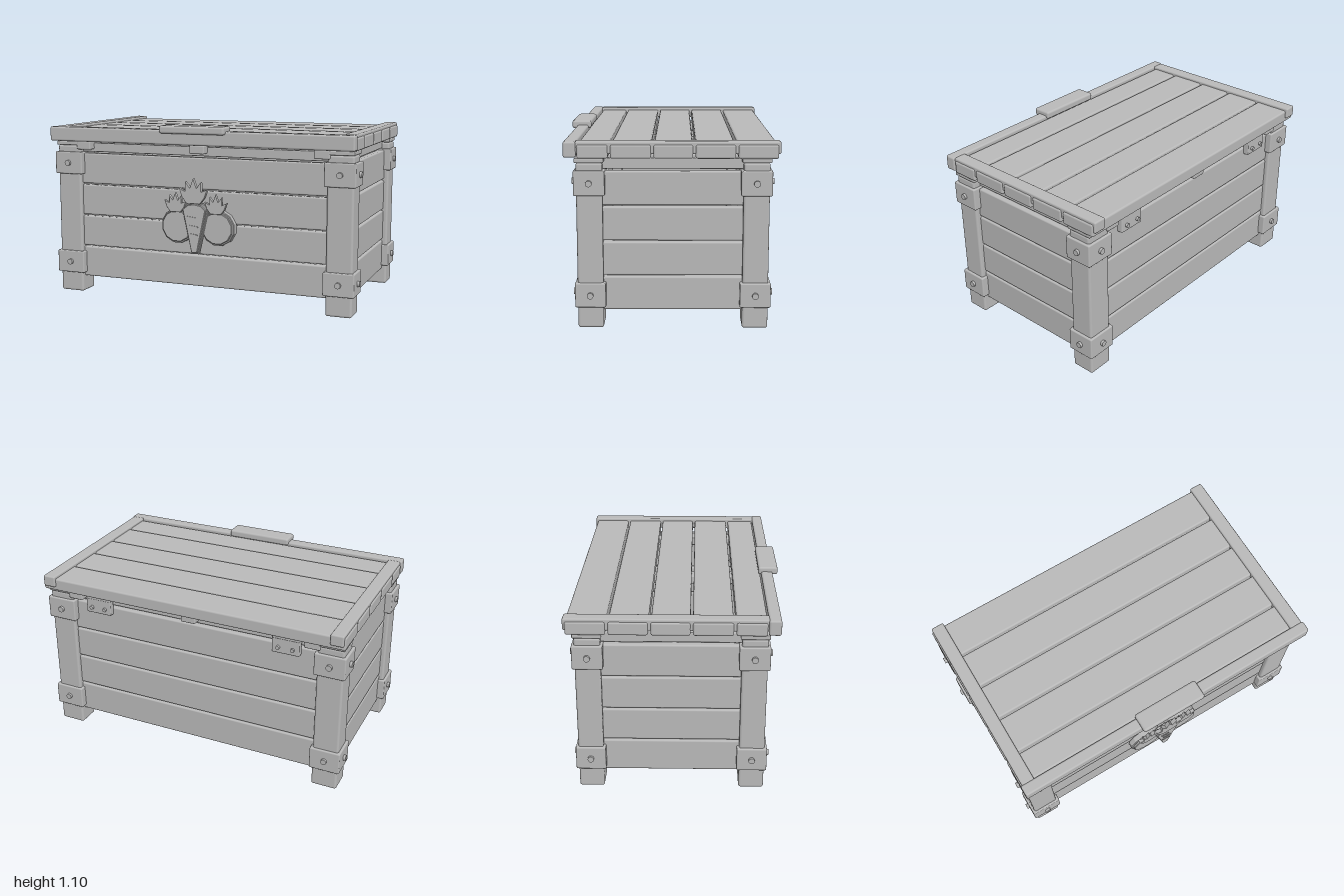
import * as THREE from 'three';
import { RoundedBoxGeometry } from 'three/addons/geometries/RoundedBoxGeometry.js';

export function createModel() {
  const root = new THREE.Group();
  root.name = 'storageChest';
  const grey = new THREE.MeshStandardMaterial({ color: 0xb8b8b8 });
  grey.name = 'plain grey';

  const add = (name, geometry, parent = root) => {
    const mesh = new THREE.Mesh(geometry, grey);
    mesh.name = name;
    parent.add(mesh);
    return mesh;
  };
  const group = (name) => {
    const g = new THREE.Group();
    g.name = name;
    root.add(g);
    return g;
  };
  // Softly rounded box given by its limits on each axis
  const box = (name, x0, x1, y0, y1, z0, z1, parent, radius = 0.01) => {
    const w = x1 - x0, h = y1 - y0, d = z1 - z0;
    const r = Math.min(radius, w * 0.3, h * 0.3, d * 0.3);
    const mesh = add(name, new RoundedBoxGeometry(w, h, d, 2, r), parent);
    mesh.position.set((x0 + x1) / 2, (y0 + y1) / 2, (z0 + z1) / 2);
    return mesh;
  };
  // Bolt head whose axis runs along x or z
  const bolt = (axis, x, y, z, parent, r = 0.018, length = 0.03) => {
    const mesh = add('bolt', new THREE.CylinderGeometry(r, r, length, 16), parent);
    if (axis === 'x') mesh.rotation.z = Math.PI / 2;
    else mesh.rotation.x = Math.PI / 2;
    mesh.position.set(x, y, z);
  };

  // Wall planks, four courses on each side with narrow gaps
  const walls = group('walls');
  for (let i = 0; i < 4; i++) {
    const y0 = 0.1 + i * 0.202, y1 = y0 + 0.194;
    box('frontPlank', -0.86, 0.86, y0, y1, 0.44, 0.49, walls);
    box('backPlank', -0.86, 0.86, y0, y1, -0.53, -0.48, walls);
    for (const s of [-1, 1]) {
      box('sidePlank', s * 0.915 - 0.025, s * 0.915 + 0.025, y0, y1, -0.46, 0.42, walls);
    }
  }

  // Floor boards
  const floor = group('floor');
  for (let i = 0; i < 4; i++) {
    const x = -0.615 + i * 0.41;
    box('floorBoard', x - 0.202, x + 0.202, 0.098, 0.14, -0.5, 0.46, floor, 0.006);
  }

  // Corner posts with caps, wrapped brackets and bolts
  for (const s of [-1, 1]) {
    for (const f of [-1, 1]) {
      const corner = group('cornerPost');
      const x = s * 0.89, z = f > 0 ? 0.445 : -0.485;
      box('post', x - 0.08, x + 0.08, 0, 0.95, z - 0.073, z + 0.073, corner, 0.014);
      box('postCap', x - 0.083, x + 0.083, 0.95, 0.975, z - 0.082, z + 0.082, corner, 0.006);
      for (const y of [0.195, 0.837]) {
        box('bracket', x - 0.095, x + 0.095, y - 0.071, y + 0.071, z - 0.087, z + 0.087, corner, 0.008);
        bolt('z', x, y, z + f * 0.087, corner);
        bolt('x', s * 0.985, y, z, corner);
      }
    }
  }

  // Lid with planks, edge trims, underside battens and handle
  const lid = group('lid');
  const seams = [0.517, 0.332, 0.094, -0.138, -0.373, -0.609];
  for (let i = 0; i < 5; i++) {
    box('lidPlank', -0.985, 0.985, 0.975, 1.053, seams[i + 1] + 0.007, seams[i] - 0.007, lid, 0.012);
  }
  box('frontTrim', -0.987, 0.987, 0.98, 1.07, 0.515, 0.585, lid, 0.012);
  for (const s of [-1, 1]) {
    box('sideTrim', s * 0.937 - 0.04, s * 0.937 + 0.04, 1.0, 1.07, -0.615, 0.52, lid, 0.01);
  }
  for (const x of [-0.78, 0, 0.78]) {
    box('lidBatten', x - 0.048, x + 0.048, 0.925, 0.978, -0.57, 0.53, lid, 0.008);
  }
  box('handle', -0.21, 0.21, 1.05, 1.098, 0.498, 0.617, lid, 0.014);

  // Recessed rim under the lid
  const rim = group('rim');
  box('frontRim', -0.9, 0.9, 0.908, 0.965, 0.43, 0.475, rim, 0.006);
  box('backRim', -0.9, 0.9, 0.908, 0.965, -0.515, -0.47, rim, 0.006);
  for (const s of [-1, 1]) {
    box('sideRim', s * 0.9 - 0.022, s * 0.9 + 0.022, 0.91, 0.97, -0.5, 0.46, rim, 0.006);
  }

  // Hinges on the back
  for (const s of [-1, 1]) {
    const hinge = group('hinge');
    const x = s * 0.62;
    box('hingePlate', x - 0.085, x + 0.085, 0.855, 0.95, -0.565, -0.525, hinge, 0.006);
    box('hingeLeaf', x - 0.085, x + 0.085, 0.945, 0.977, -0.565, -0.5, hinge, 0.006);
    for (const d of [-0.045, 0.045]) bolt('z', x + d, 0.893, -0.567, hinge, 0.012, 0.024);
  }

  // Vegetable emblem cut from flat plates
  const emblem = group('vegetableEmblem');
  const plate = (name, points, z0, z1, bevel = 0.004) => {
    const shape = new THREE.Shape(points.map(([x, y]) => new THREE.Vector2(x, y)));
    const geometry = new THREE.ExtrudeGeometry(shape, {
      depth: z1 - z0 - bevel * 2, bevelEnabled: true, bevelThickness: bevel,
      bevelSize: bevel, bevelOffset: -bevel, bevelSegments: 1,
    });
    geometry.translate(0, 0, z0 + bevel);
    return add(name, geometry, emblem);
  };
  const disc = (cx, cy, r) => Array.from({ length: 12 }, (_, i) => {
    const a = (i + 0.5) * Math.PI / 6;
    return [cx + Math.cos(a) * r, cy + Math.sin(a) * r];
  });
  // Five pointed leaves, one unit tall
  const crown = [[-0.28, 0], [0.28, 0], [0.48, 0.25], [0.6, 0.6], [0.34, 0.48], [0.33, 0.87],
    [0.14, 0.62], [0, 1], [-0.14, 0.62], [-0.33, 0.87], [-0.34, 0.48], [-0.6, 0.6], [-0.48, 0.25]];
  const leaves = (cx, y, size, z0, z1) =>
    plate('leaves', crown.map(([u, v]) => [cx + u * size, y + v * size]), z0, z1, 0.002);

  for (const cx of [-0.128, 0.137]) {
    plate('roundVegetableBack', disc(cx, 0.48, 0.11), 0.488, 0.53);
    plate('roundVegetable', disc(cx, 0.48, 0.099), 0.528, 0.545);
    leaves(cx, 0.57, 0.12, 0.54, 0.564);
  }
  const carrot = (k) => [[-0.022, 0.315], [0.022, 0.315], [0.088, 0.6], [0.05, 0.63], [0, 0.638],
    [-0.05, 0.63], [-0.088, 0.6]].map(([x, y]) => [x * k, 0.48 + (y - 0.48) * (0.5 + k / 2)]);
  plate('carrotBack', carrot(1), 0.528, 0.55);
  plate('carrot', carrot(0.86), 0.548, 0.574);
  leaves(0, 0.63, 0.155, 0.56, 0.585);
  // Short grooves raised across the carrot
  for (const [x, y] of [[-0.015, 0.545], [0, 0.49], [-0.005, 0.44]]) {
    const crease = add('carrotCrease', new THREE.BoxGeometry(0.055, 0.007, 0.006), emblem);
    crease.position.set(x, y, 0.576);
    crease.rotation.z = -0.12;
  }

  return root;
}
